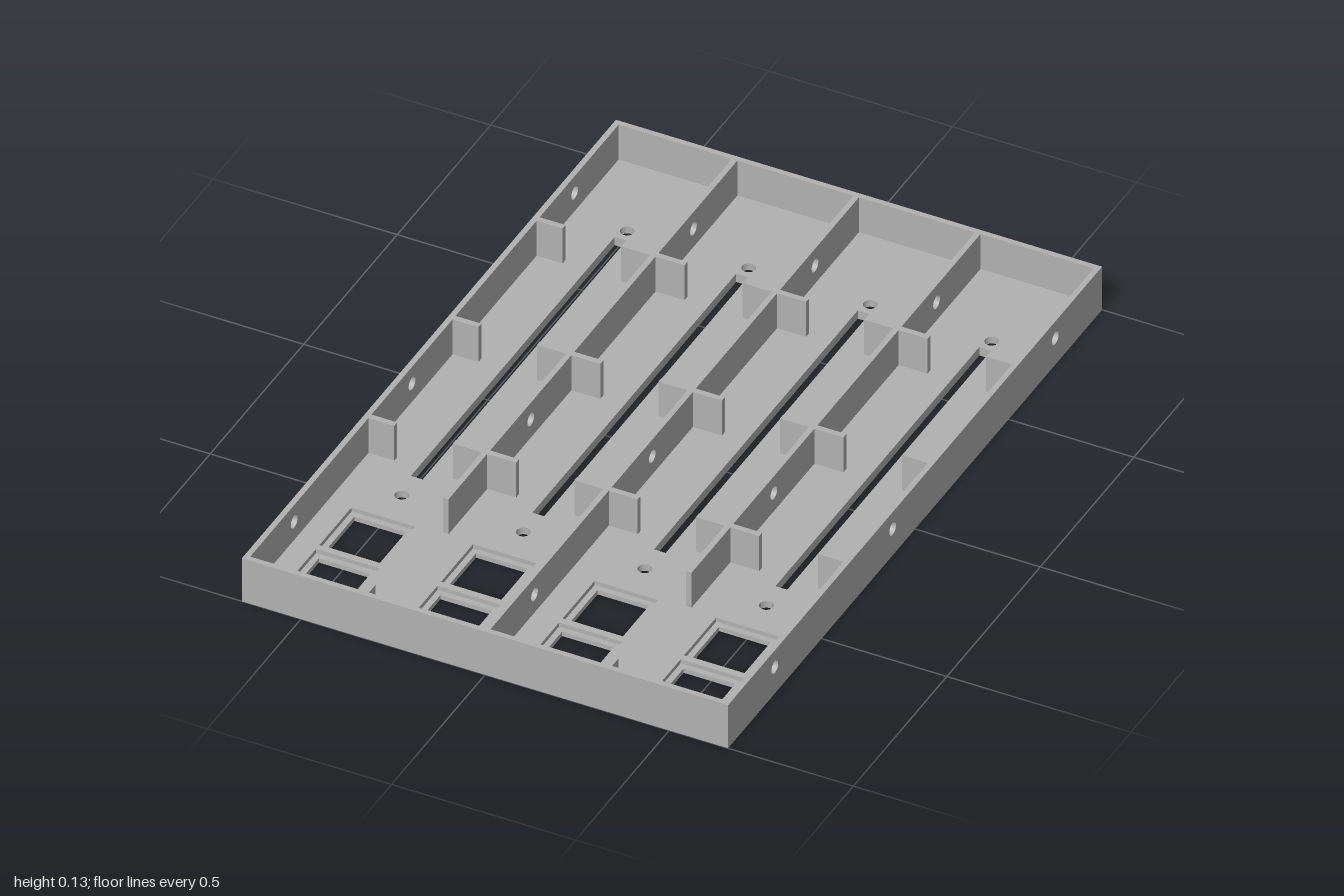
import * as THREE from 'three';

const W = 0.66, L = 1, H = 0.13, T = 0.015, FLOOR = 0.025;
const SLOTS = [-0.495, -0.165, 0.165, 0.495];
const WINDOWS = [0.655, 0.845];
const BORES = [-0.75, 0.12, 0.75];

export function createModel() {
  const group = new THREE.Group();
  const grey = new THREE.MeshStandardMaterial({ color: 0xb2b2b2 });

  const add = (name, geometry) => {
    const mesh = new THREE.Mesh(geometry, grey);
    mesh.name = name;
    group.add(mesh);
    return mesh;
  };
  const box = (name, x0, x1, y0, y1, z0, z1) =>
    add(name, new THREE.BoxGeometry(x1 - x0, y1 - y0, z1 - z0))
      .position.set((x0 + x1) / 2, (y0 + y1) / 2, (z0 + z1) / 2);

  const rect = (Type, x0, x1, y0, y1) => new Type([
    [x0, y0], [x1, y0], [x1, y1], [x0, y1],
  ].map(([x, y]) => new THREE.Vector2(x, y)));
  const circle = (x, y, r) => new THREE.Path().absarc(x, y, r, 0, Math.PI * 2, true);
  const extrude = (shape, depth) =>
    new THREE.ExtrudeGeometry(shape, { depth, bevelEnabled: false, curveSegments: 12 });

  // Floor layer: slots, screw holes and key windows cut through it
  const floorLayer = (name, y0, y1, screwR, windowHalf, marks) => {
    const shape = rect(THREE.Shape, -W, W, -L, L);
    const cut = (x0, x1, z0, z1) => shape.holes.push(rect(THREE.Path, x0, x1, -z1, -z0));
    for (const x of SLOTS) {
      cut(x - 0.016, x + 0.016, -0.7, 0.39);
      for (const z of [-0.735, 0.47]) shape.holes.push(circle(x, -z, screwR));
      for (const z of WINDOWS) cut(x - windowHalf, x + windowHalf, z - windowHalf, z + windowHalf);
      if (!marks) continue;
      // engraved scale ticks on both sides of each slot
      for (let i = 0; i < 7; i++) {
        const z = -0.66 + i * 0.17;
        for (const s of [-1, 1]) cut(x + s * 0.07 - 0.015, x + s * 0.07 + 0.015, z - 0.003, z + 0.003);
      }
    }
    // engraved lines across the underside
    if (marks) for (const z of [-0.91, 0.52]) cut(-0.65, 0.65, z - 0.003, z + 0.003);
    add(name, extrude(shape, y1 - y0).rotateX(-Math.PI / 2).translate(0, y0, 0));
  };
  floorLayer('engravedUnderside', 0, 0.005, 0.025, 0.07, true);
  floorLayer('floorPlate', 0.005, 0.013, 0.018, 0.07, false);
  floorLayer('recessedFloor', 0.013, FLOOR, 0.018, 0.086, false);

  // Upright panels running front to back, with wiring bores
  const panel = (name, x, y0, z0, z1) => {
    const shape = rect(THREE.Shape, -z1, -z0, y0, H);
    for (const z of BORES) if (z > z0 && z < z1) shape.holes.push(circle(-z, 0.08, 0.018));
    add(name, extrude(shape, T).rotateY(Math.PI / 2).translate(x - T / 2, 0, 0));
  };
  panel('rightWall', -W + T / 2, 0, -L, L);
  panel('leftWall', W - T / 2, 0, -L, L);
  panel('centreRib', 0, FLOOR, -L + T, L - T);
  for (const x of [-0.33, 0.33]) {
    panel('channelRib', x, FLOOR, -L + T, 0.56);
    box('ribStub', x - T / 2, x + T / 2, FLOOR, H, 0.95, L - T);
  }

  // End walls
  box('backWall', -W + T, W - T, 0, H, -L, -L + T);
  box('frontWall', -W + T, W - T, 0, H, L - T, L);

  // Short cross fins on the ribs and side walls
  for (const z of [-0.555, -0.105, 0.345]) {
    const fin = (x0, x1) => box('crossFin', x0, x1, FLOOR, H, z - 0.008, z + 0.008);
    for (const x of [-0.33, 0, 0.33]) {
      fin(x - 0.086, x - T / 2);
      fin(x + T / 2, x + 0.086);
    }
    fin(-W + T, -0.575);
    fin(0.575, W - T);
  }
  return group;
}
